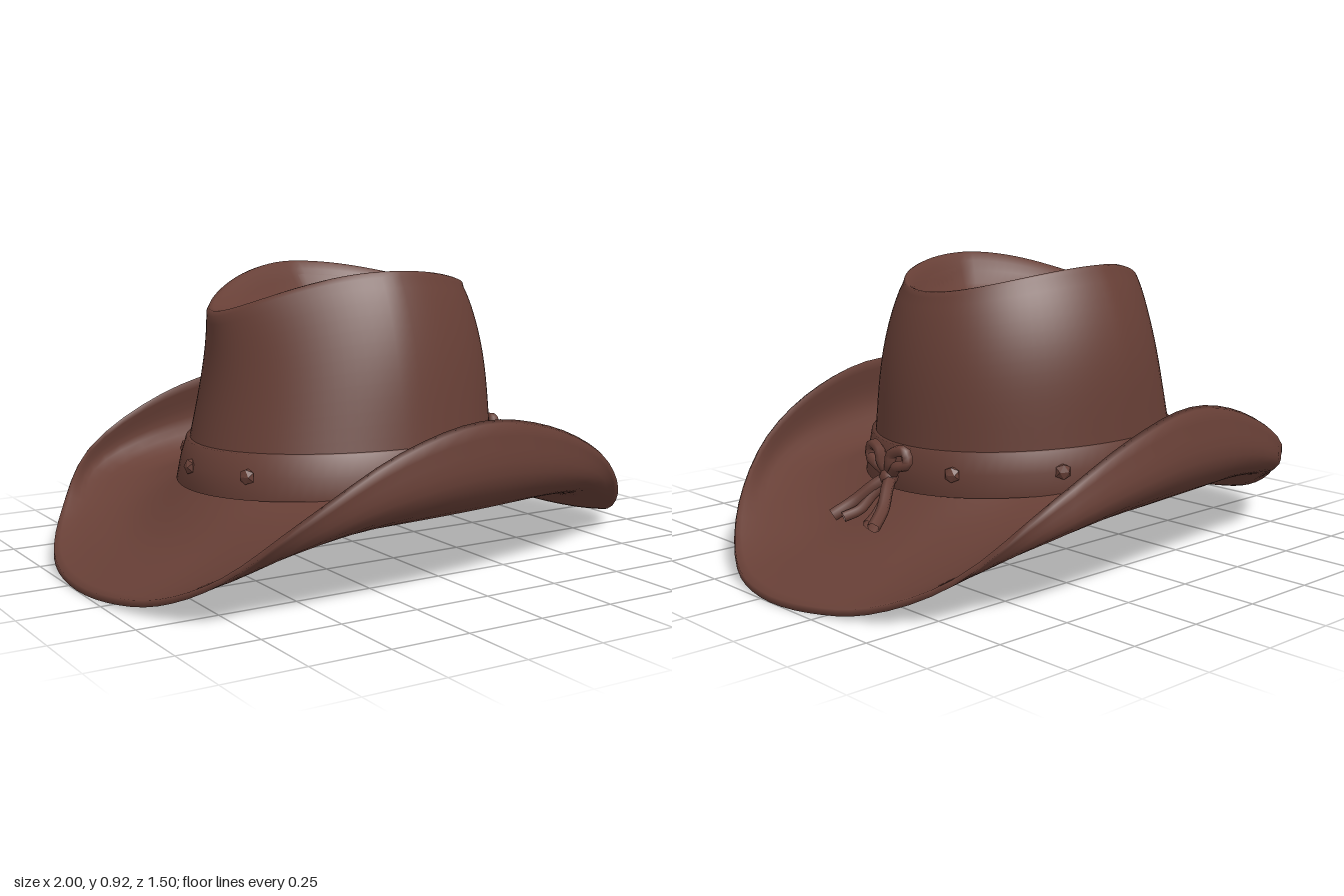
import * as THREE from 'three';

const N = 88;
const BASE_Y = 0.25;
const leather = new THREE.MeshStandardMaterial({ color: 0x673f36, side: THREE.DoubleSide });
leather.name = 'brown leather';

// Closed loft through rings of N points each
function loft(name, rings) {
  const pos = [], idx = [];
  for (const ring of rings) for (const p of ring) pos.push(p.x, p.y, p.z);
  for (let j = 0; j < rings.length - 1; j++) {
    for (let i = 0; i < N; i++) {
      const k = (i + 1) % N, a = j * N + i, b = j * N + k;
      idx.push(a, a + N, b, b, a + N, b + N);
    }
  }
  const g = new THREE.BufferGeometry();
  g.setAttribute('position', new THREE.Float32BufferAttribute(pos, 3));
  g.setIndex(idx);
  g.computeVertexNormals();
  return named(name, g);
}

function named(name, geometry) {
  const m = new THREE.Mesh(geometry, leather);
  m.name = name;
  return m;
}

const ringOf = (f) => Array.from({ length: N }, (_, i) => f((i / N) * Math.PI * 2));

// Oval where crown and brim meet
function basePoint(a, scale = 1) {
  return new THREE.Vector3(
    -0.04 + 0.53 * scale * Math.cos(a),
    BASE_Y + 0.015 * Math.sin(a) ** 2,
    -0.015 + 0.465 * scale * Math.sin(a));
}

// Teardrop ridge round the top of the crown, pinched and lower at the -x end
function ridgePoint(a, scale = 1) {
  const c = Math.cos(a), s = Math.sin(a);
  const pinch = 1 - 0.3 * Math.max(0, -c);
  return new THREE.Vector3(
    -0.045 + 0.455 * c * scale + 0.15 * (1 - scale),
    0.92 - (c < 0 ? 0.125 : 0.075) * c * c,
    -0.03 + 0.335 * s * pinch * scale);
}

// Point on the crown wall, t = 0 at the brim and 1 at the ridge
function wallPoint(a, t, grow = 1) {
  const c = Math.cos(a), s = Math.sin(a);
  const p = basePoint(a).lerp(ridgePoint(a), t);
  const bulge = Math.sin(Math.PI * Math.max(0, t) ** 1.4);
  p.x = -0.04 + (p.x + 0.04 + bulge * c * (c < 0 ? -0.026 : 0.026)) * grow;
  p.z = -0.02 + (p.z + 0.02 + bulge * s * (s < 0 ? 0.045 : 0.026)) * grow;
  p.y -= 0.018 * t ** 12;
  return p;
}

// Crown wall, rounded ridge and sunken top
function crownRings() {
  const rings = [];
  for (let j = 0; j <= 16; j++) rings.push(ringOf((a) => wallPoint(a, j / 16)));
  const dent = [
    [0.985, 0.02], [0.96, 0], [0.93, 0.04], [0.88, 0.17], [0.83, 0.38], [0.77, 0.65],
    [0.69, 0.86], [0.58, 0.97], [0.4, 1], [0.2, 1], [0, 1],
  ];
  for (const [scale, depth] of dent) {
    rings.push(ringOf((a) => {
      const p = ridgePoint(a, scale);
      const floor = 0.75 + 0.035 * (1 - scale * scale);
      p.y = THREE.MathUtils.lerp(p.y, Math.min(floor, p.y), depth);
      return p;
    }));
  }
  return rings;
}

// Rim of the brim: rolled up along both sides, dipping at the two ends
const rim = new THREE.CatmullRomCurve3([
  [1, 0.02, 0], [0.95, 0.05, 0.2], [0.8, 0.18, 0.41], [0.58, 0.34, 0.56], [0.3, 0.46, 0.65],
  [0, 0.51, 0.71], [-0.3, 0.45, 0.735], [-0.6, 0.29, 0.71], [-0.8, 0.14, 0.62], [-0.91, 0.055, 0.45],
  [-0.98, 0.025, 0.25], [-1, 0.02, 0], [-0.97, 0.05, -0.2], [-0.87, 0.14, -0.39], [-0.7, 0.3, -0.56],
  [-0.4, 0.45, -0.63], [-0.1, 0.51, -0.67], [0.2, 0.46, -0.7], [0.5, 0.33, -0.69],
  [0.75, 0.13, -0.56], [0.9, 0.04, -0.38], [0.98, 0.02, -0.2],
].map((p) => new THREE.Vector3(...p)), true);

function brimRings() {
  const steps = 14;
  const top = Array.from({ length: steps + 1 }, () => []);
  const under = Array.from({ length: steps + 1 }, () => []);
  for (let i = 0; i < N; i++) {
    const R = rim.getPoint(i / N);
    const a = Math.atan2(R.z / 0.73, R.x);
    const B = basePoint(a, 0.97);
    const s = THREE.MathUtils.clamp((R.y - 0.02) / 0.49, 0, 1);
    const roll = R.z > 0 ? 0.3 : 0.4;
    const diagonal = 4 * s * (1 - s);
    const between = (flat, rise, sag) => {
      const p = B.clone().lerp(R, flat);
      p.y = B.y + (R.y - B.y) * rise - sag;
      return p;
    };
    const profile = new THREE.CatmullRomCurve3([
      B,
      between(0.4 + 0.3 * s, 0.4 - 0.4 * s, 0.05 - 0.025 * s + 0.025 * diagonal),
      between(0.75 + roll * s, 0.75 - 0.33 * s, 0.03 + 0.025 * diagonal),
      R,
    ]);
    const out = new THREE.Vector3(Math.cos(a), 0, Math.sin(a));
    for (let j = 0; j <= steps; j++) {
      const u = j / steps, p = profile.getPoint(u);
      top[j].push(p);
      const q = p.clone().addScaledVector(out, 0.02 * s * u);
      q.y -= 0.02 * (1 - 0.6 * s * u);
      under[j].push(q);
    }
  }
  return [...under, ...top.reverse()];
}

function tube(name, points, radius, closed = false) {
  const curve = new THREE.CatmullRomCurve3(points.map((p) => new THREE.Vector3(...p)), closed);
  return named(name, new THREE.TubeGeometry(curve, 20, radius, 6, closed));
}

export function createModel() {
  const hat = new THREE.Group();
  hat.name = 'hat';

  const crown = crownRings();
  hat.add(loft('brim', brimRings()));
  hat.add(loft('crown', crown));

  // Lining: the crown shell drawn slightly in, facing inwards
  const lining = crown.map((ring) => ring.map((p) => new THREE.Vector3(
    -0.04 + (p.x + 0.04) * 0.965, p.y - 0.02, -0.02 + (p.z + 0.02) * 0.965)));
  hat.add(loft('lining', lining.reverse()));

  // Hat band with a slight lip
  const bandT = (a, h) => h / (ridgePoint(a).y - BASE_Y);
  const bandProfile = [[-0.01, 1.0], [-0.01, 1.035], [0.06, 1.035], [0.125, 1.025], [0.128, 0.99]];
  hat.add(loft('hatBand', bandProfile.map(([h, grow]) => ringOf((a) => wallPoint(a, bandT(a, h), grow)))));

  // Studs spaced unevenly round the band, leaving room for the bow
  const studs = new THREE.Group();
  studs.name = 'bandStuds';
  for (const degrees of [60, 78, 100, 150, 182, 218, 258, 280, 297, 335]) {
    const a = THREE.MathUtils.degToRad(degrees);
    const stud = named('stud', new THREE.IcosahedronGeometry(0.027, 0));
    stud.position.copy(wallPoint(a, bandT(a, 0.06), 1.04));
    stud.rotation.y = -a;
    stud.scale.x = 0.65;
    studs.add(stud);
  }
  hat.add(studs);

  // Bow: two loops, tails lying on the brim, and a knot
  const bow = new THREE.Group();
  bow.name = 'bow';
  bow.position.z = -0.02;
  for (const s of [-1, 1]) {
    bow.add(tube('bowLoop', [
      [0.53, 0.29, 0], [0.55, 0.33, 0.02 * s], [0.55, 0.365, 0.03 * s],
      [0.54, 0.375, 0.08 * s], [0.54, 0.34, 0.09 * s], [0.55, 0.325, 0.05 * s],
    ], 0.018, true));
    bow.add(tube('bowTail', [
      [0.53, 0.29, 0], [0.57, 0.26, 0.03 * s], [0.62, 0.21, 0.07 * s], [0.68, 0.17, 0.1 * s],
    ], 0.02));
    bow.add(tube('bowTail', [
      [0.53, 0.28, 0], [0.58, 0.23, 0.03 * s], [0.62, 0.19, 0.04 * s], [0.67, 0.17, 0.06 * s],
    ], 0.016));
  }
  const knot = named('bowKnot', new THREE.IcosahedronGeometry(0.03, 1));
  knot.position.set(0.54, 0.285, 0);
  bow.add(knot);
  hat.add(bow);

  return hat;
}
